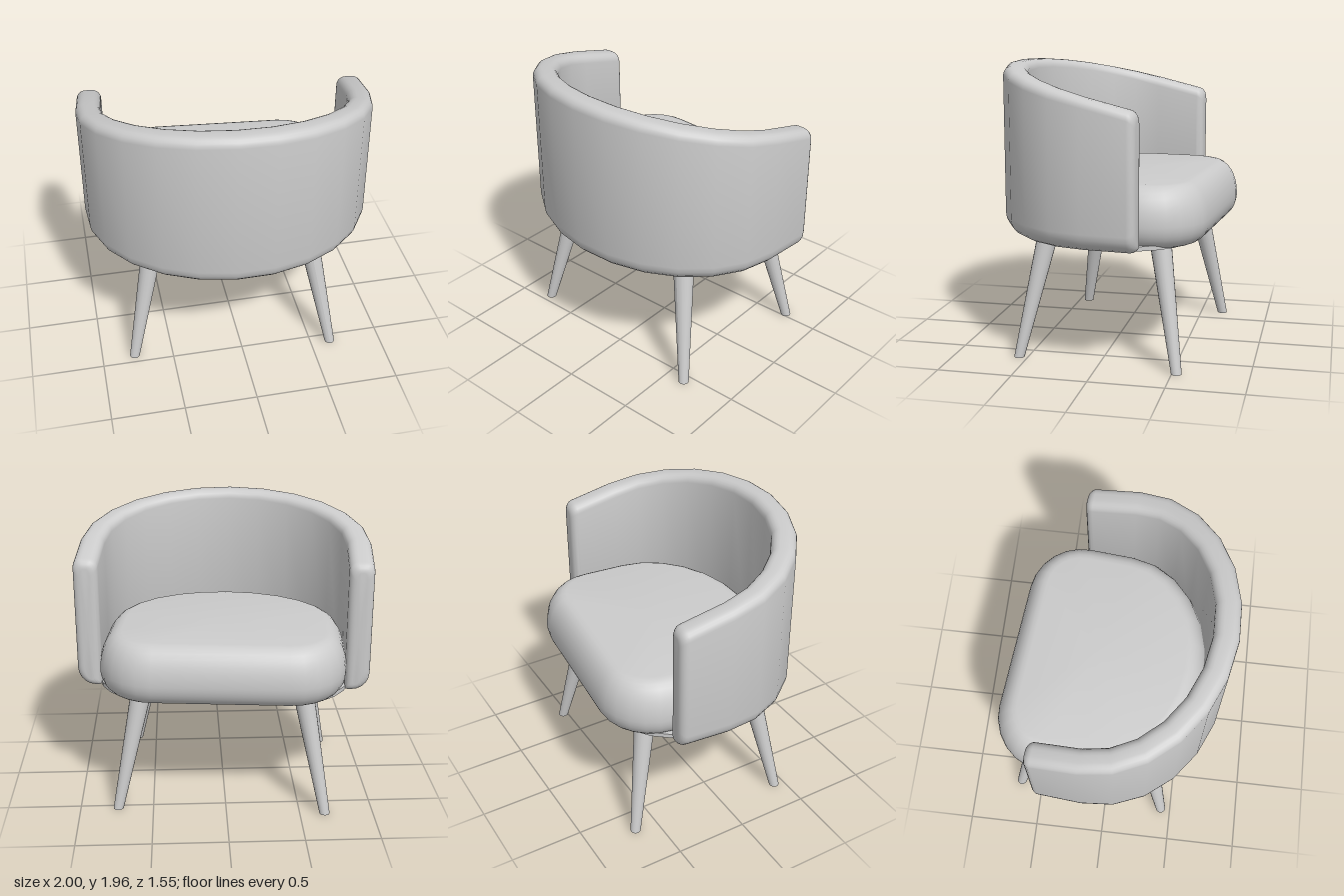
import * as THREE from 'three';
import { toCreasedNormals } from 'three/addons/utils/BufferGeometryUtils.js';

const material = new THREE.MeshStandardMaterial({ color: 0xcccccc });

// Skin a list of equally long closed rings and cap both ends
function loft(rings, crease = 0.7) {
  const n = rings[0].length, pos = [], idx = [];
  const add = (p) => pos.push(p.x, p.y, p.z) / 3 - 1;
  rings.forEach((r) => r.forEach(add));
  for (let i = 0; i < rings.length - 1; i++) {
    for (let j = 0; j < n; j++) {
      const a = i * n + j, b = i * n + (j + 1) % n;
      idx.push(a, b, b + n, a, b + n, a + n);
    }
  }
  [0, rings.length - 1].forEach((i) => {
    const mid = new THREE.Vector3();
    rings[i].forEach((p) => mid.addScaledVector(p, 1 / n));
    const c = add(mid);
    for (let j = 0; j < n; j++) {
      const a = i * n + j, b = i * n + (j + 1) % n;
      if (i === 0) idx.push(c, b, a); else idx.push(c, a, b);
    }
  });
  // Turn the faces outward if the enclosed volume is negative
  const v = (k) => new THREE.Vector3().fromArray(pos, k * 3);
  let volume = 0;
  for (let k = 0; k < idx.length; k += 3) volume += v(idx[k]).dot(v(idx[k + 1]).cross(v(idx[k + 2])));
  if (volume < 0) idx.reverse();
  const g = new THREE.BufferGeometry();
  g.setAttribute('position', new THREE.Float32BufferAttribute(pos, 3));
  g.setIndex(idx);
  return toCreasedNormals(g, crease);
}

// Plan outline: half ellipse at the back, rounded corners at the front
function outline(rx, rz, zFront, cornerX, cornerZ) {
  const half = [];
  for (let i = 0; i <= 6; i++) {
    const a = (i / 6) * Math.PI / 2;
    half.push([rx * Math.sin(a), 0.01 + rz * Math.cos(a)]);
  }
  for (let i = 0; i <= 6; i++) {
    const a = (i / 6) * Math.PI / 2;
    half.push([cornerX + (rx - cornerX) * Math.cos(a), cornerZ + (zFront - cornerZ) * Math.sin(a)]);
  }
  const mirrored = half.slice(1).reverse().map(([x, z]) => [-x, z]);
  return half.concat(mirrored);
}

// Ring at height y, moved inward from an outline
function insetRing(pts, inset, y) {
  const n = pts.length;
  return pts.map(([x, z], i) => {
    const p = pts[(i + n - 1) % n], q = pts[(i + 1) % n];
    const tx = q[0] - p[0], tz = q[1] - p[1], l = Math.hypot(tx, tz);
    return new THREE.Vector3(x + (tz / l) * inset, y, z - (tx / l) * inset);
  });
}

// Cushion with a bullnose edge
function seatGeometry() {
  const pts = outline(0.83, 0.665, -0.685, 0.45, -0.3);
  const rings = [], steps = 8;
  for (let i = 0; i <= steps; i++) {
    const a = (i / steps) * Math.PI / 2;
    rings.push(insetRing(pts, 0.11 * (1 - Math.sin(a)), 0.97 - 0.15 * Math.cos(a)));
  }
  for (let i = 1; i <= steps; i++) {
    const a = (i / steps) * Math.PI / 2;
    rings.push(insetRing(pts, 0.15 * (1 - Math.cos(a)), 0.97 + 0.25 * Math.sin(a)));
  }
  return loft(rings);
}

// Wraparound wall: rounded section swept along a U, top sloping down to the arms
const RX = 0.905, RZ = 0.735, HALF = 0.083, END = -0.34, BEVEL = 0.05;
function wallSection(st) {
  const { x, z, nx, nz, e } = st;
  const top = 1.955 + 0.237 * (z - RZ), bottom = 0.82;
  const corners = [
    [1, top, 0.06, 0], [-1, top, 0.06, 1], [-1, bottom, 0.02, 2], [1, bottom, 0.12, 3],
  ];
  const ring = [];
  corners.forEach(([side, y0, r, quarter]) => {
    for (let i = 0; i <= 5; i++) {
      const a = (quarter + i / 5) * Math.PI / 2;
      const up = y0 === top ? 1 : -1;
      const d = (side * (HALF - r) + r * Math.cos(a)) * (HALF - e) / HALF;
      const y = y0 - up * (r + e) + r * Math.sin(a);
      ring.push(new THREE.Vector3(x + nx * d, y, z + nz * d));
    }
  });
  return ring;
}

function wallGeometry() {
  const arm = [];
  for (let i = 0; i <= 5; i++) { // softened arm end
    const a = (i / 5) * Math.PI / 2;
    arm.push({ x: RX, z: END + BEVEL * (1 - Math.cos(a)), nx: 1, nz: 0, e: BEVEL * (1 - Math.sin(a)) });
  }
  const bend = [];
  for (let i = 0; i <= 12; i++) {
    const a = Math.PI / 2 - (i / 12) * Math.PI;
    const nx = Math.sin(a) / RX, nz = Math.cos(a) / RZ, l = Math.hypot(nx, nz);
    bend.push({ x: RX * Math.sin(a), z: 0.01 + RZ * Math.cos(a), nx: nx / l, nz: nz / l, e: 0 });
  }
  const other = arm.map((s) => ({ ...s, x: -s.x, nx: -1 })).reverse();
  return loft([...arm, ...bend, ...other].map(wallSection));
}

// Tapered leg leaning outward, cut level at the floor
function legGeometry(sx, sz) {
  const h = 0.88, g = new THREE.CylinderGeometry(0.074, 0.035, h, 20);
  g.translate(0, h / 2, 0);
  const p = g.attributes.position;
  for (let i = 0; i < p.count; i++) {
    const y = p.getY(i);
    p.setX(i, p.getX(i) + sx * (0.708 - 0.198 * y));
    p.setZ(i, p.getZ(i) + sz * (0.547 - 0.189 * y));
  }
  g.computeVertexNormals();
  return g;
}

export function createModel() {
  const chair = new THREE.Group();
  chair.name = 'tubChair';
  const body = new THREE.Group();
  body.name = 'chairBody';
  const add = (name, geometry) => {
    const mesh = new THREE.Mesh(geometry, material);
    mesh.name = name;
    body.add(mesh);
  };

  add('seatCushion', seatGeometry());
  add('backAndArms', wallGeometry());

  // Thin plate closing the underside between cushion and wall
  const plate = outline(0.87, 0.7, -0.575, 0.45, -0.1);
  add('basePlate', loft([insetRing(plate, 0, 0.821), insetRing(plate, 0, 0.85)], 0.5));

  for (const [sx, side] of [[1, 'Left'], [-1, 'Right']]) {
    add('seatFrontLeg' + side, legGeometry(sx, -1));
    add('seatBackLeg' + side, legGeometry(sx, 1));
  }

  // The chair stands slightly turned
  body.rotation.y = -0.092;
  body.position.set(-0.015, 0, -0.05);
  chair.add(body);
  return chair;
}
